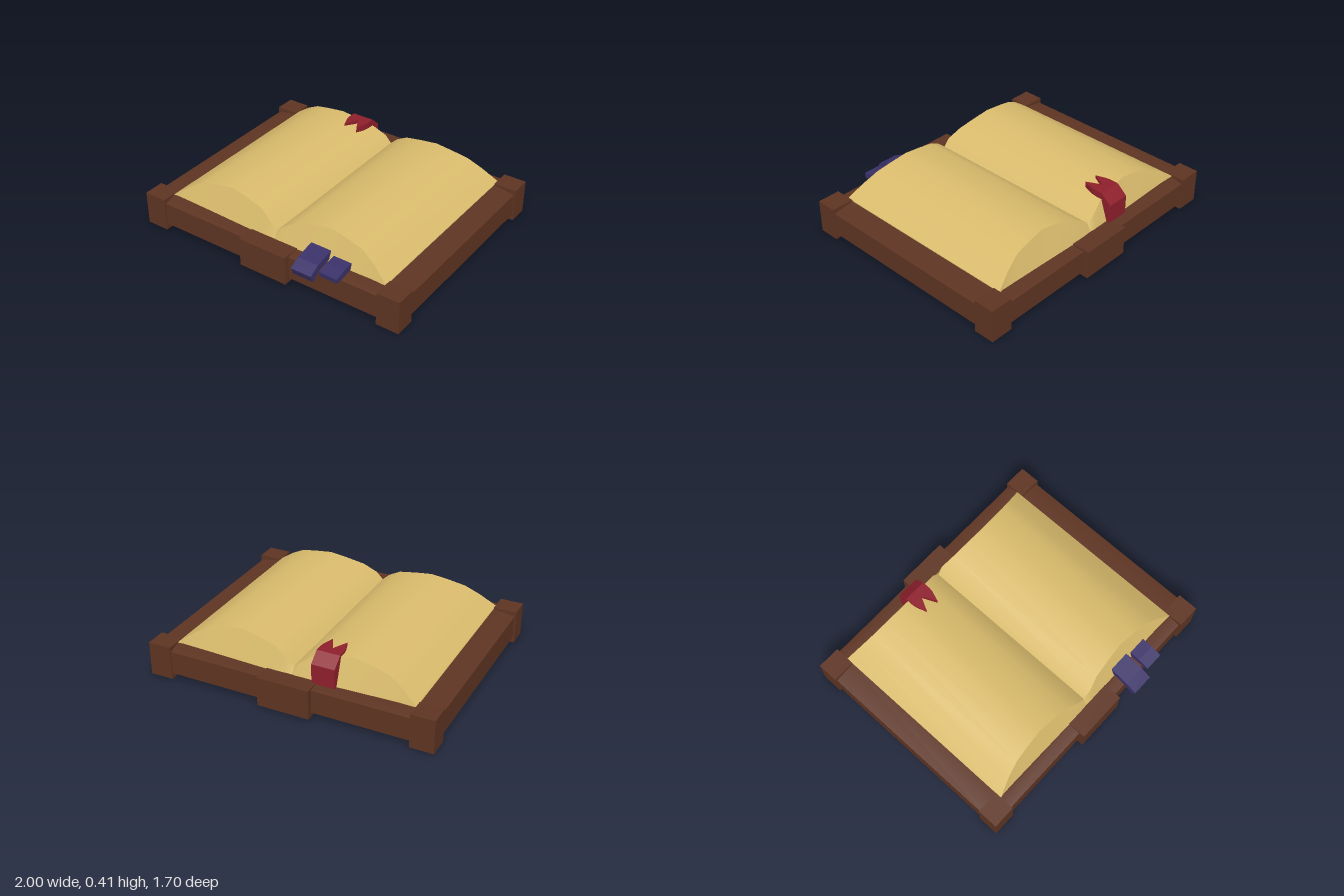
import * as THREE from 'three';

const material = (color) => new THREE.MeshStandardMaterial({ color, side: THREE.DoubleSide });

export function createModel() {
  const book = new THREE.Group();
  book.name = 'openBook';
  const leather = material(0x5e3422);
  const paper = material(0xd9bb6c);
  const red = material(0x8e1f2c);
  const blue = material(0x3a3168);

  const add = (name, geometry, mat) => {
    const mesh = new THREE.Mesh(geometry, mat);
    mesh.name = name;
    book.add(mesh);
    return mesh;
  };
  // box given by its limits
  const block = (name, x0, x1, y0, y1, z0, z1, mat) =>
    add(name, new THREE.BoxGeometry(x1 - x0, y1 - y0, z1 - z0), mat)
      .position.set((x0 + x1) / 2, (y0 + y1) / 2, (z0 + z1) / 2);
  // move every vertex of a geometry by a rule
  const reshape = (geometry, rule) => {
    const p = geometry.attributes.position;
    for (let i = 0; i < p.count; i++) p.setXYZ(i, ...rule(p.getX(i), p.getY(i), p.getZ(i)));
    geometry.computeVertexNormals();
    return geometry;
  };

  // cover: a slab whose rim rises gently towards the pages
  const coverX = [-0.99, -0.84, 0, 0.84, 0.99];
  const coverZ = [-0.81, -0.73, 0.67, 0.75];
  add('cover', reshape(new THREE.BoxGeometry(4, 1, 3, 4, 1, 3), (x, y, z) => {
    const i = Math.round(x + 2), k = Math.round(z + 1.5);
    const inner = i > 0 && i < 4 && k > 0 && k < 3;
    const top = inner ? (i === 2 ? 0.205 : 0.225) : 0.2;
    return [coverX[i], y < 0 ? 0.04 : top, coverZ[k]];
  }), leather);

  // spine: strip below and raised bands at both ends
  block('spineStrip', -0.18, 0.18, 0.012, 0.06, -0.8, 0.74, leather);
  block('spineEndFront', -0.18, 0.18, 0.012, 0.215, 0.66, 0.79, leather);
  block('spineEndBack', -0.18, 0.18, 0.012, 0.215, -0.85, -0.72, leather);

  // corner guards
  for (const s of [-1, 1]) {
    const x0 = s < 0 ? -1 : 0.84;
    block('cornerFront', x0, x0 + 0.16, 0, 0.235, 0.62, 0.765, leather);
    block('cornerBack', x0, x0 + 0.16, 0, 0.235, -0.82, -0.675, leather);
  }

  // pages: arched profile (x, y) from gutter to fore edge, ends slanting inwards
  const arch = [[0, 0.26], [0.05, 0.305], [0.14, 0.36], [0.27, 0.388], [0.39, 0.408],
    [0.52, 0.388], [0.63, 0.365], [0.73, 0.31], [0.84, 0.23]];
  const n = arch.length - 1;
  for (const s of [-1, 1]) {
    add(s < 0 ? 'pagesRight' : 'pagesLeft', reshape(new THREE.BoxGeometry(n, 1, 1, n, 1, 1), (x, y, z) => {
      const i = Math.round(x + n / 2);
      const [px, top] = arch[s > 0 ? i : n - i];
      const py = y > 0 ? top : 0.19;
      const rise = Math.max(0, py - 0.215);
      const gutter = px < 0.01 && y > 0 ? 0.025 : 0;
      const pz = z > 0 ? 0.67 - 0.45 * rise - gutter : -0.73 + 0.41 * rise + gutter;
      return [s * px, py, pz];
    }), paper);
  }

  // ribbon with a side outline of (z, y) points, spanning x0 to x1
  const ribbon = (name, x0, x1, outline, mat) => {
    const shape = new THREE.Shape(outline.map(([z, y]) => new THREE.Vector2(-z, y)));
    const g = new THREE.ExtrudeGeometry(shape, { depth: x1 - x0, bevelEnabled: false });
    g.rotateY(Math.PI / 2).translate(x0, 0, 0);
    add(name, g, mat);
  };

  // red bookmark: drape over the back of the pages, then a forked tail
  ribbon('bookmarkDrape', -0.31, -0.15, [[-0.745, 0.2], [-0.745, 0.345], [-0.67, 0.408],
    [-0.61, 0.408], [-0.61, 0.365], [-0.65, 0.36], [-0.7, 0.2]], red);
  const fork = new THREE.Shape([[-0.31, 0.61], [-0.23, 0.61], [-0.28, 0.51], [-0.305, 0.58]]
    .map(([x, y]) => new THREE.Vector2(x, y)));
  const fork2 = new THREE.Shape([[-0.15, 0.61], [-0.23, 0.61], [-0.18, 0.51], [-0.155, 0.58]]
    .map(([x, y]) => new THREE.Vector2(x, y)));
  const tail = new THREE.ExtrudeGeometry([fork, fork2], { depth: 0.043, bevelEnabled: false });
  tail.rotateX(-Math.PI / 2).translate(0, 0.365, 0);
  add('bookmarkTail', tail, red);

  // blue ribbons hanging over the front rim
  ribbon('ribbonLarge', 0.27, 0.42, [[0.63, 0.285], [0.77, 0.255], [0.845, 0.215],
    [0.82, 0.16], [0.75, 0.21], [0.63, 0.235]], blue);
  ribbon('ribbonSmall', 0.45, 0.58, [[0.645, 0.265], [0.72, 0.258], [0.8, 0.238],
    [0.795, 0.203], [0.72, 0.21], [0.645, 0.22]], blue);

  return book;
}
